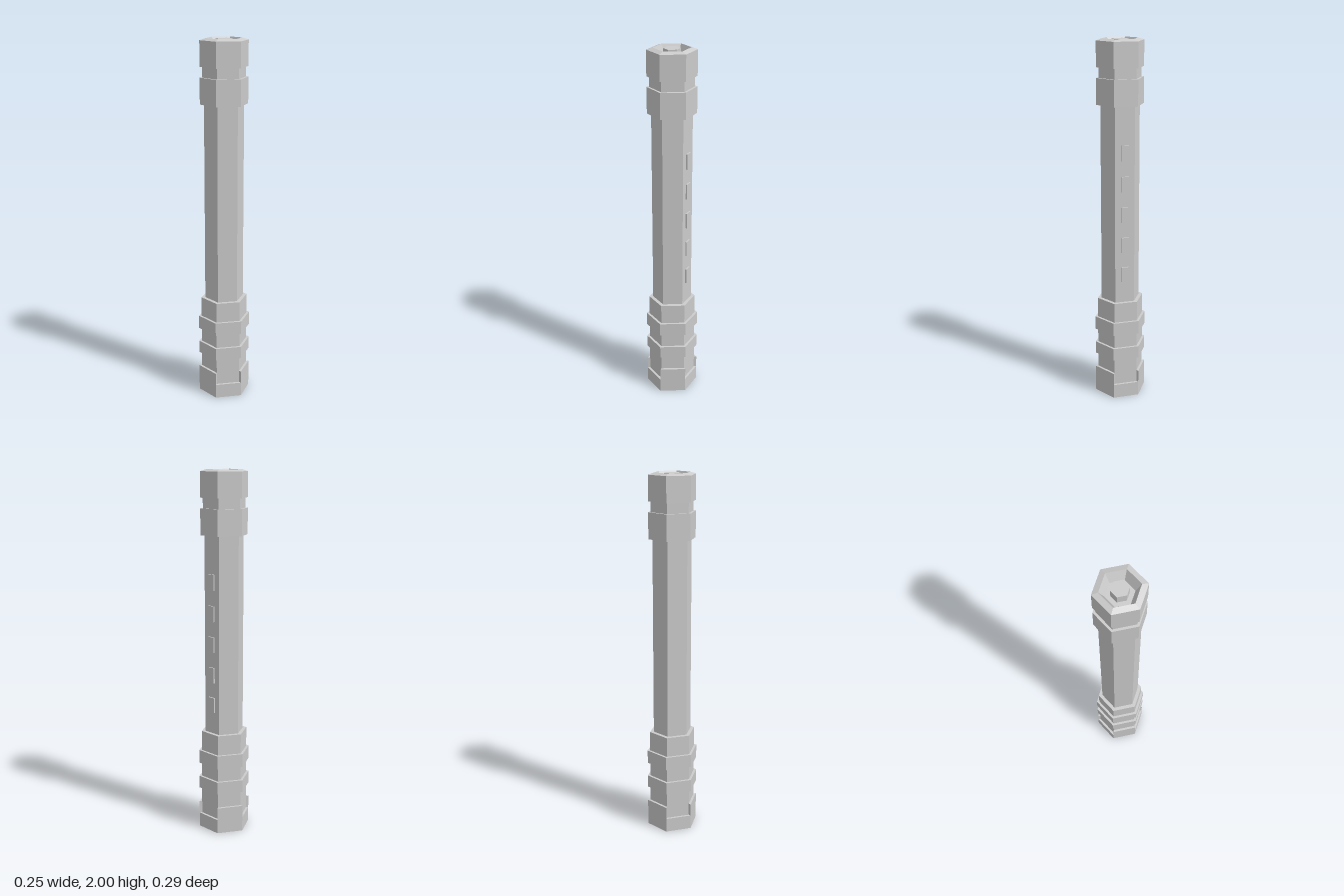
import * as THREE from 'three';

const material = new THREE.MeshStandardMaterial({ color: 0xcccccc, flatShading: true });
const COS30 = Math.cos(Math.PI / 6);

export function createModel() {
  const group = new THREE.Group();

  const add = (name, geometry) => {
    const mesh = new THREE.Mesh(geometry, material);
    mesh.name = name;
    group.add(mesh);
    return mesh;
  };

  // Six-sided section between two heights, with a corner facing the front
  const hexSection = (name, radius, y0, y1) => {
    const mesh = add(name, new THREE.CylinderGeometry(radius, radius, y1 - y0, 6));
    mesh.position.y = (y0 + y1) / 2;
  };

  // Grip with raised rings, long shaft and upper collar
  hexSection('pommel', 0.145, 0, 0.08);
  hexSection('grip', 0.13, 0.08, 0.572);
  hexSection('lowerGripRing', 0.145, 0.235, 0.305);
  hexSection('upperGripRing', 0.145, 0.385, 0.46);
  hexSection('shaft', 0.108, 0.572, 1.66);
  hexSection('collar', 0.13, 1.66, 1.8);
  hexSection('neck', 0.116, 1.8, 1.855);

  // Hollow head: bevelled rim sloping down into a recessed floor
  const headProfile = [
    [0, 1.855], [0.13, 1.855], [0.13, 1.99], [0.098, 2], [0.07, 1.945], [0, 1.945],
  ].map(([r, y]) => new THREE.Vector2(r, y));
  add('head', new THREE.LatheGeometry(headProfile, 6));
  hexSection('headCore', 0.045, 1.945, 1.997);

  // Tabs rising from the pommel on every other face
  const outer = 0.145, inner = 0.128;
  const tabShape = new THREE.Shape([
    new THREE.Vector2(-outer / 2, -outer * COS30),
    new THREE.Vector2(outer / 2, -outer * COS30),
    new THREE.Vector2(inner / 2, -inner * COS30),
    new THREE.Vector2(-inner / 2, -inner * COS30),
  ]);
  for (const degrees of [-30, 90, 210]) {
    const tab = new THREE.ExtrudeGeometry(tabShape, { depth: 0.07, bevelEnabled: false });
    tab.rotateX(-Math.PI / 2);
    const mesh = add('pommelTab', tab);
    mesh.position.y = 0.08;
    mesh.rotation.y = THREE.MathUtils.degToRad(degrees);
  }

  // Row of small raised buttons on the back left face of the shaft
  const buttonAngle = THREE.MathUtils.degToRad(150);
  const faceDistance = 0.108 * COS30;
  for (let i = 0; i < 5; i++) {
    const button = add('button', new THREE.BoxGeometry(0.042, 0.085, 0.016));
    button.position.set(
      Math.sin(buttonAngle) * faceDistance,
      0.735 + i * 0.17,
      Math.cos(buttonAngle) * faceDistance,
    );
    button.rotation.y = buttonAngle;
  }

  return group;
}
